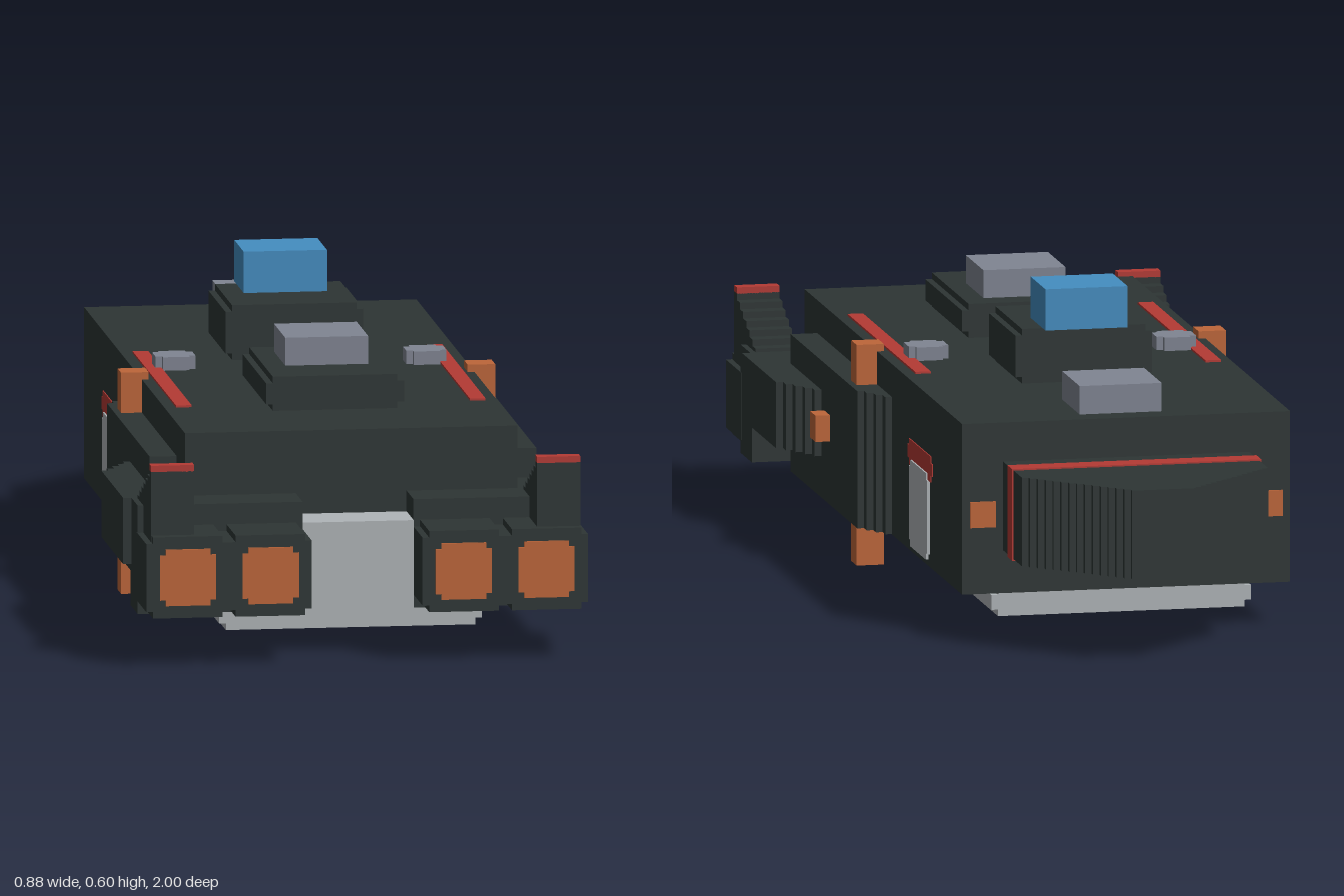
import * as THREE from 'three';

const mat = (name, color) => Object.assign(new THREE.MeshStandardMaterial({ color }), { name });

export function createModel() {
  const ship = new THREE.Group();
  ship.name = 'spaceship';
  const dark = mat('dark hull', 0x2d3534);
  const light = mat('light plating', 0xb0b5b8);
  const grey = mat('grey fittings', 0x808592);
  const orange = mat('orange thrusters', 0xbe6639);
  const red = mat('red trim', 0xb43a34);
  const blue = mat('blue glass', 0x448ec1);
  const U = 0.0127; // size of one small step

  const add = (name, geo, material) => {
    const mesh = new THREE.Mesh(geo, material);
    mesh.name = name;
    ship.add(mesh);
    return mesh;
  };
  // Box given by its limits
  const box = (name, m, x0, x1, y0, y1, z0, z1) =>
    add(name, new THREE.BoxGeometry(x1 - x0, y1 - y0, z1 - z0), m)
      .position.set((x0 + x1) / 2, (y0 + y1) / 2, (z0 + z1) / 2);
  const pair = (name, m, x0, x1, ...rest) => {
    box(name + 'Left', m, x0, x1, ...rest);
    box(name + 'Right', m, -x1, -x0, ...rest);
  };
  const extrude = (pts, depth) => new THREE.ExtrudeGeometry(
    new THREE.Shape(pts.map(([a, b]) => new THREE.Vector2(a, b))), { depth, bevelEnabled: false });
  // Rectangle with a square notch at each corner
  const notched = (a0, a1, b0, b1, c = U) => [
    [a0 + c, b0], [a1 - c, b0], [a1 - c, b0 + c], [a1, b0 + c], [a1, b1 - c], [a1 - c, b1 - c],
    [a1 - c, b1], [a0 + c, b1], [a0 + c, b1 - c], [a0, b1 - c], [a0, b0 + c], [a0 + c, b0 + c]];
  const alongZ = (name, m, pts, z0, z1) =>
    add(name, extrude(pts, z1 - z0).translate(0, 0, z0), m);
  // Plan outline of [x, z] points raised from y0 to y1
  const slab = (name, m, pts, y0, y1) =>
    add(name, extrude(pts.map(([x, z]) => [x, -z]), y1 - y0).rotateX(-Math.PI / 2).translate(0, y0, 0), m);
  // Staircase of n steps between two points, first moving in the second coordinate
  const stairs = (a0, b0, a1, b1, n) => {
    const pts = [[a0, b0]];
    for (let i = 1; i <= n; i++) {
      const b = b0 + (b1 - b0) * i / n;
      pts.push([a0 + (a1 - a0) * (i - 1) / n, b], [a0 + (a1 - a0) * i / n, b]);
    }
    return pts;
  };
  const mirrorX = (pts, s) => pts.map(([x, b]) => [x * s, b]);

  // Hull, stepped nose and belly plate
  box('hull', dark, -0.32, 0.32, 0.083, 0.414, -0.655, 0.77);
  const noseSide = [[0.24, -0.64], ...stairs(0.24, -0.815, 0.05, -1, 15)];
  slab('nose', dark, [...noseSide, ...mirrorX(noseSide, -1).reverse()], 0.166, 0.338);
  box('noseStripe', red, -0.243, 0.243, 0.163, 0.341, -0.75, -0.707);
  alongZ('bellyPlate', light, notched(-0.253, 0.253, 0.03, 0.084), -0.61, 0.763);
  box('sternBlock', light, -0.107, 0.107, 0.083, 0.253, 0.765, 0.87);

  // Deck turrets, bridge and fittings
  alongZ('frontTurret', dark, notched(-0.133, 0.133, 0.414, 0.48), 0.212, 0.545);
  box('frontTurretCap', grey, -0.08, 0.08, 0.48, 0.534, 0.265, 0.425);
  alongZ('bridgeBase', dark, notched(-0.133, 0.133, 0.414, 0.52), -0.27, -0.03);
  box('bridge', blue, -0.08, 0.08, 0.52, 0.6, -0.296, -0.162);
  box('rearHatch', grey, -0.08, 0.08, 0.414, 0.469, -0.605, -0.445);
  pair('deckStripe', red, 0.268, 0.298, 0.412, 0.418, -0.13, 0.483);

  // Posts and small thrusters
  pair('topPost', orange, 0.307, 0.36, 0.34, 0.428, 0.113, 0.163);
  pair('bottomPost', orange, 0.307, 0.36, 0, 0.09, 0.113, 0.163);
  pair('sideThruster', orange, 0.36, 0.4, 0.207, 0.258, 0.3, 0.35);
  pair('bowThruster', orange, 0.255, 0.305, 0.212, 0.262, -0.659, -0.65);

  for (const s of [1, -1]) {
    const side = s > 0 ? 'Left' : 'Right';
    const mx = pts => mirrorX(pts, s);

    slab('deckPad' + side, grey, mx(notched(0.203, 0.28, 0, 0.072)), 0.414, 0.44);

    // Side sponson and wing pod with stepped leading ends
    slab('sponson' + side, dark,
      mx([[0.3, 0.655], [0.372, 0.655], ...stairs(0.372, 0.075, 0.32, -0.02, 4), [0.3, -0.02]]), 0.084, 0.35);
    slab('wingPod' + side, dark,
      mx([[0.3, 0.78], [0.44, 0.78], ...stairs(0.44, 0.495, 0.372, 0.375, 5), [0.3, 0.375]]), 0.165, 0.293);

    // Side door with red lintel
    const sidePanel = (name, m, pts, out) => {
      const geo = extrude(pts.map(([z, y]) => [-z, y]), 0.008).rotateY(Math.PI / 2);
      add(name + side, geo.translate(s * (0.316 + out) - 0.004, 0, 0), m);
    };
    sidePanel('lintel', red, notched(-0.39, -0.17, 0.25, 0.3), 0.002);
    sidePanel('door', light, notched(-0.362, -0.196, 0.095, 0.263), 0.005);

    // Engine housing and two nozzles
    alongZ('engineMount' + side, dark,
      mx([[0.107, 0.083], [0.424, 0.083], [0.424, 0.293], [0.107, 0.293]]), 0.765, 0.867);
    for (const [i, x] of [0.107, 0.266].entries()) {
      alongZ('engine' + side + i, dark, mx(notched(x, x + 0.159, 0.096, 0.253)), 0.86, 0.996);
      const c = i ? 0.345 : 0.186;
      alongZ('nozzle' + side + i, orange, mx(notched(c - 0.054, c + 0.054, 0.12, 0.229, 0.011)), 0.992, 1);
    }

    // Stepped tail fin with red tip
    const fin = [[0.975, 0.24], [0.975, 0.376], ...stairs(0.95, 0.376, 0.782, 0.3, 6), [0.782, 0.24]];
    const finGeo = extrude(fin.map(([z, y]) => [-z, y]), 0.083).rotateY(Math.PI / 2);
    add('fin' + side, finGeo.translate(s * 0.3715 - 0.0415, 0, 0), dark);
  }
  pair('finTip', red, 0.33, 0.413, 0.375, 0.388, 0.95, 0.975);

  return ship;
}
